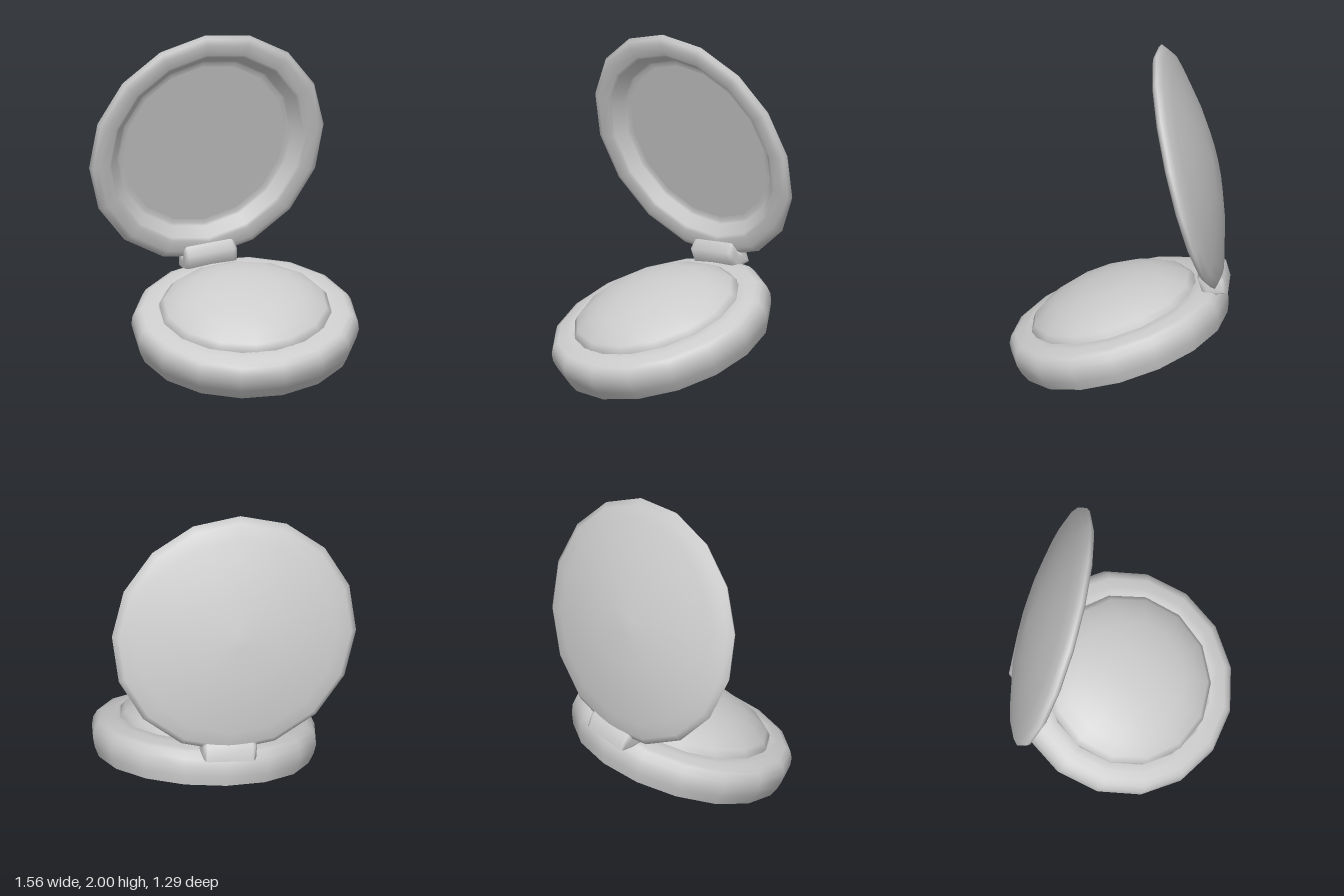
import * as THREE from 'three';
import { toCreasedNormals } from 'three/addons/utils/BufferGeometryUtils.js';

const SIDES = 16;

export function createModel() {
  const model = new THREE.Group();
  const material = new THREE.MeshStandardMaterial({ color: 0xcccccc });

  const add = (name, geometry, parent) => {
    const mesh = new THREE.Mesh(geometry, material);
    mesh.name = name;
    parent.add(mesh);
    return mesh;
  };
  // Profiles are [radius, height] pairs, running from the bottom up the outside
  const lathe = (points, sides = SIDES, start = 0) => new THREE.LatheGeometry(
    points.map(([r, h]) => new THREE.Vector2(r, h)), sides, start);

  // The whole case is turned and tipped towards the front
  const compact = new THREE.Group();
  compact.name = 'compactCase';
  compact.position.set(0.12, 0.205, -0.015);
  compact.rotation.set(0.33, 0.34, 0);
  model.add(compact);

  // Base: bulging wall and a broad rim rising gently to the powder well
  add('baseShell', lathe([
    [0.618, 0], [0.645, 0.06], [0.658, 0.115], [0.652, 0.165], [0.63, 0.205],
    [0.6, 0.217], [0.55, 0.23], [0.505, 0.238], [0.49, 0.225], [0.48, 0.19],
  ]), compact);
  add('baseFloor', new THREE.CircleGeometry(0.618, SIDES).rotateX(Math.PI / 2), compact);

  // Domed powder cake
  add('powder', lathe([
    [0.5, 0.18], [0.5, 0.238], [0.472, 0.272], [0.4, 0.314],
    [0.32, 0.35], [0.2, 0.38], [0.1, 0.391], [0.03, 0.393], [0, 0.393],
  ], 14, Math.PI / 2), compact);

  // Lid: domed back, rolled rim and a recessed mirror, opened a little past upright
  const lid = new THREE.Group();
  lid.name = 'lid';
  lid.position.set(0.01, 0.945, -0.68);
  lid.rotation.x = Math.PI / 2 - 0.05;
  compact.add(lid);
  add('lidShell', lathe([
    [0, -0.155], [0.04, -0.155], [0.25, -0.14], [0.45, -0.1], [0.6, -0.06], [0.69, -0.03],
    [0.724, 0], [0.71, 0.022], [0.675, 0.037], [0.61, 0.033], [0.592, 0.022],
    [0.54, -0.032], [0.525, -0.041], [0.5, -0.043],
  ]), lid);
  add('mirror', new THREE.CircleGeometry(0.502, SIDES).rotateX(-Math.PI / 2).translate(0, -0.043, 0), lid);

  // Hinge: a rounded saddle clasping the foot of the lid; profile is [z, y]
  const bevel = 0.03;
  const width = 0.32;
  const saddle = new THREE.Shape([
    [-0.57, 0.22], [-0.57, 0.29], [-0.585, 0.3], [-0.6, 0.245],
    [-0.63, 0.24], [-0.645, 0.262], [-0.655, 0.25], [-0.655, 0.2],
  ].map(([z, y]) => new THREE.Vector2(z, y)));
  const hinge = new THREE.ExtrudeGeometry(saddle, {
    depth: width - 2 * bevel, bevelEnabled: true, bevelSize: bevel,
    bevelThickness: bevel, bevelSegments: 4, steps: 1,
  });
  hinge.translate(0, 0, -width / 2 + bevel).rotateY(-Math.PI / 2);
  add('hinge', toCreasedNormals(hinge, 1.6), compact);

  return model;
}
